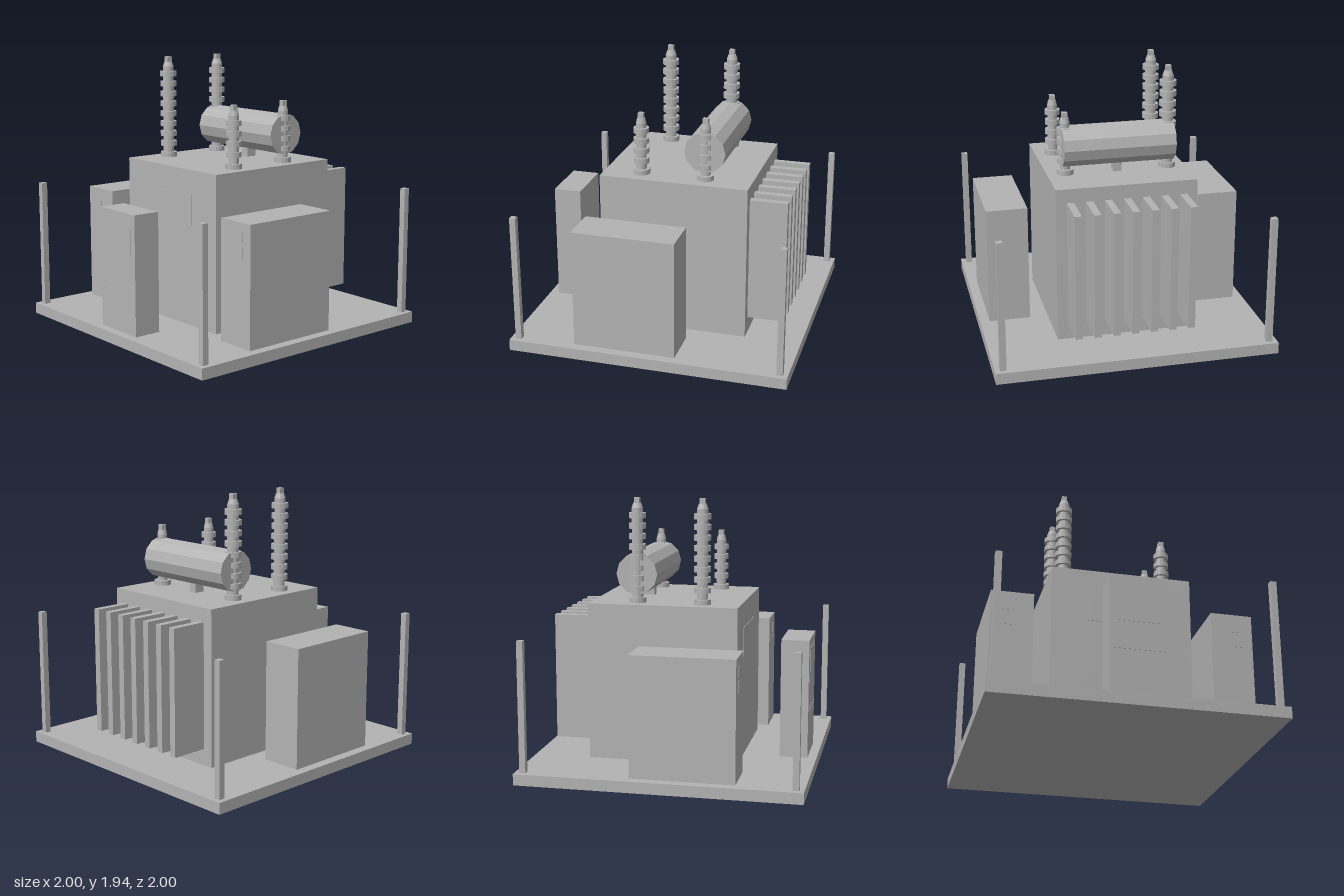
import * as THREE from 'three';

export function createModel() {
  const model = new THREE.Group();
  model.name = 'transformer';
  const grey = new THREE.MeshStandardMaterial({ color: 0xb3b3b3, flatShading: true });
  grey.name = 'grey metal';

  // Box given by its extents on each axis
  function box(name, [x0, x1], [y0, y1], [z0, z1], parent = model) {
    const mesh = new THREE.Mesh(new THREE.BoxGeometry(x1 - x0, y1 - y0, z1 - z0), grey);
    mesh.position.set((x0 + x1) / 2, (y0 + y1) / 2, (z0 + z1) / 2);
    mesh.name = name;
    parent.add(mesh);
    return mesh;
  }

  // Base slab and main tank
  box('basePad', [-1, 1], [0, 0.08], [-1, 1]);
  box('tank', [-0.47, 0.595], [0.08, 1.2], [-0.5, 0.5]);
  box('tankPlate', [-0.474, -0.47], [0.81, 1.02], [-0.24, 0.24]);

  // Radiator fins on the left side
  for (let i = 0; i < 7; i++) {
    const z = -0.4 + (i * 0.8) / 6;
    box('radiatorFin', [0.595, 0.862], [0.2, 1.1], [z - 0.025, z + 0.025]);
  }

  // Front and back cabinets, each with two small labels on the end
  for (const s of [-1, 1]) {
    const span = (a, b) => (s > 0 ? [a, b] : [-b, -a]);
    box('cabinet', [-0.535, 0.198], [0.08, 0.935], span(0.632, 0.93));
    box('cabinetLabel', [-0.538, -0.535], [0.8, 0.87], span(0.78, 0.85));
    box('cabinetLabel', [-0.538, -0.535], [0.69, 0.77], span(0.78, 0.85));
  }

  // Narrow control cabinet on the right side
  box('controlCabinet', [-0.935, -0.735], [0.08, 0.935], [-0.2, 0.2]);
  box('controlPanel', [-0.938, -0.935], [0.61, 0.87], [-0.14, 0.15]);
  box('controlSeam', [-0.938, -0.935], [0.41, 0.425], [-0.17, 0.18]);

  // Corner posts
  for (const x of [-0.943, 0.943]) for (const z of [-0.943, 0.943]) {
    box('cornerPost', [x - 0.022, x + 0.022], [0.08, 1.005], [z - 0.022, z + 0.022]);
  }

  // Oil conservator drum on its support
  const drum = new THREE.Mesh(new THREE.CylinderGeometry(0.147, 0.147, 0.8, 12), grey);
  drum.rotation.x = Math.PI / 2;
  drum.position.set(0.265, 1.403, 0);
  drum.name = 'conservatorDrum';
  model.add(drum);
  box('drumSupport', [0.225, 0.305], [1.2, 1.28], [-0.03, 0.03]);

  // Ribbed insulator: flange, stacked sheds, tapered cap, square terminal
  function bushing(x, z, sheds, shedR, coreR) {
    const group = new THREE.Group();
    group.name = 'bushing';
    const pts = [[0, 0], [0.06, 0], [0.06, 0.036], [coreR, 0.036]];
    let y = 0.081;
    for (let i = 0; i < sheds; i++, y += 0.0734) {
      pts.push([coreR, y], [shedR, y], [shedR, y + 0.038], [coreR, y + 0.038]);
    }
    const top = y - 0.0354;
    pts.push([coreR, top + 0.034], [0.028, top + 0.068], [0, top + 0.068]);
    const profile = pts.map(([r, h]) => new THREE.Vector2(r, h));
    const insulator = new THREE.Mesh(new THREE.LatheGeometry(profile, 16), grey);
    insulator.name = 'insulator';
    group.add(insulator);
    box('terminal', [-0.019, 0.019], [top + 0.06, top + 0.106], [-0.019, 0.019], group);
    group.position.set(x, 1.2, z);
    model.add(group);
  }
  for (const x of [-0.2, 0.265]) {
    bushing(x, -0.37, 8, 0.06, 0.04);
    bushing(x, 0.37, 4, 0.055, 0.036);
  }

  return model;
}
